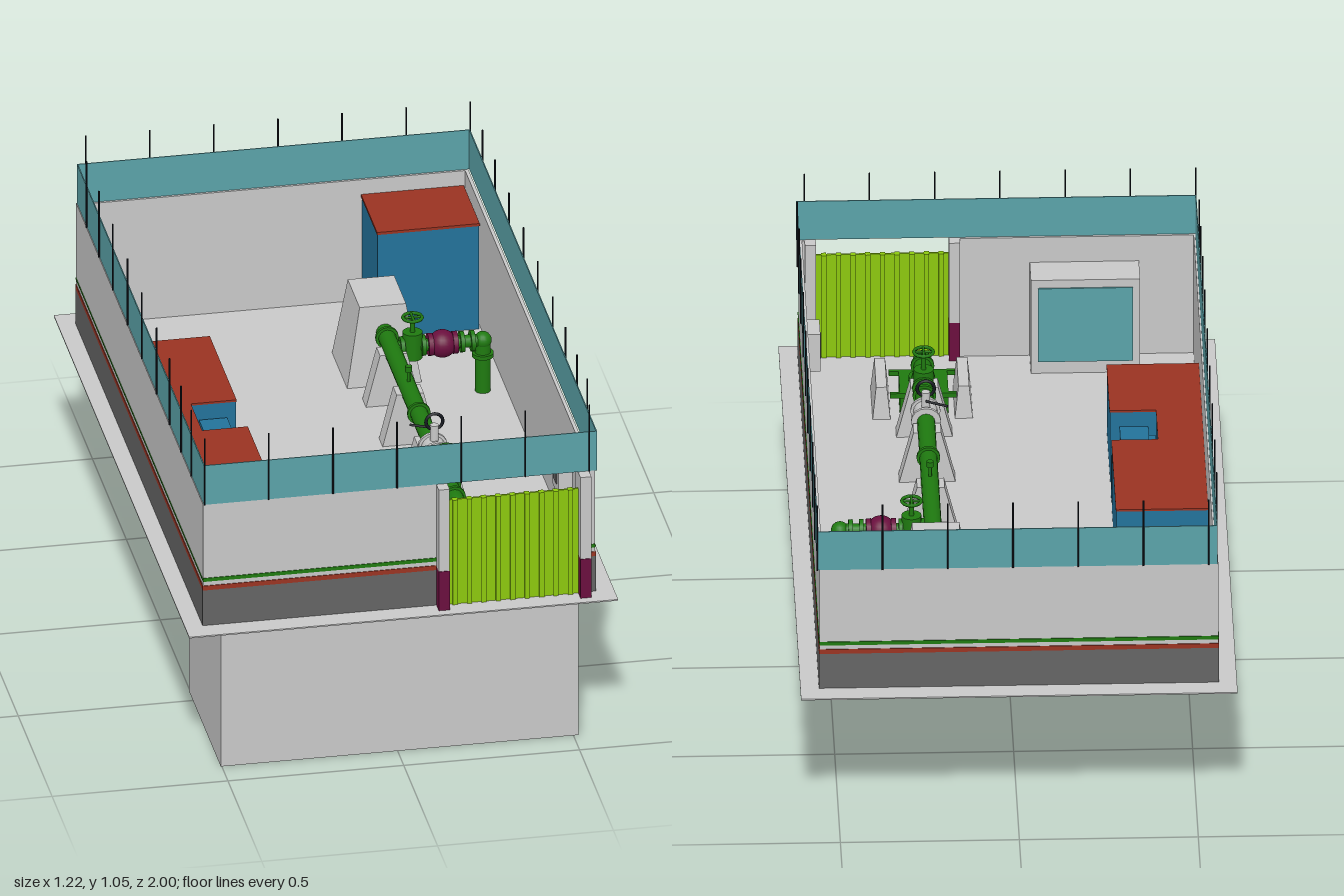
import * as THREE from 'three';

const mat = (name, color) => {
  const m = new THREE.MeshStandardMaterial({ color });
  m.name = name;
  return m;
};

export function createModel() {
  const root = new THREE.Group();
  root.name = 'pumpingStationYard';
  const concrete = mat('light concrete', 0xc8c8c8), dark = mat('dark plinth grey', 0x646464);
  const red = mat('brick red', 0x9a3322), green = mat('pipe green', 0x1f7a10);
  const teal = mat('fence teal', 0x5aa2a8), lime = mat('gate lime', 0x8cc80e);
  const maroon = mat('maroon', 0x6a0f3e), blue = mat('building blue', 0x23729a);
  const black = mat('pole black', 0x15181f);
  const FLOOR = 0.462, WALL = 0.84, PX = 0.22, PY = 0.62;

  const add = (name, geo, m, parent = root) => {
    const mesh = new THREE.Mesh(geo, m);
    mesh.name = name;
    parent.add(mesh);
    return mesh;
  };
  // Box given by its extents on each axis
  const box = (name, m, x0, x1, y0, y1, z0, z1, parent) => {
    const b = add(name, new THREE.BoxGeometry(x1 - x0, y1 - y0, z1 - z0), m, parent);
    b.position.set((x0 + x1) / 2, (y0 + y1) / 2, (z0 + z1) / 2);
    return b;
  };
  // Cylinder between two points
  const rod = (name, m, a, b, r, parent, seg = 16) => {
    const p = new THREE.Vector3(...a), q = new THREE.Vector3(...b);
    const d = q.clone().sub(p);
    const c = add(name, new THREE.CylinderGeometry(r, r, d.length(), seg), m, parent);
    c.position.copy(p).add(q).multiplyScalar(0.5);
    c.quaternion.setFromUnitVectors(new THREE.Vector3(0, 1, 0), d.normalize());
    return c;
  };
  // Box whose top is inset on x and z
  const taper = (name, m, x0, x1, y0, y1, z0, z1, ix, iz, parent) => {
    const b = box(name, m, x0, x1, y0, y1, z0, z1, parent);
    const w = x1 - x0, d = z1 - z0, p = b.geometry.attributes.position;
    for (let i = 0; i < p.count; i++) {
      if (p.getY(i) < 0) continue;
      p.setX(i, p.getX(i) * (1 - 2 * ix / w));
      p.setZ(i, p.getZ(i) * (1 - 2 * iz / d));
    }
    b.geometry.computeVertexNormals();
    return b;
  };
  const group = (name) => {
    const g = new THREE.Group();
    g.name = name;
    root.add(g);
    return g;
  };

  // Ground slab and the chamber below it
  box('groundSlab', concrete, -0.61, 0.61, FLOOR - 0.004, FLOOR, -1, 1);
  box('undergroundChamber', concrete, -0.503, 0.515, 0, FLOOR - 0.004, 0.44, 0.91);

  // Perimeter walls with painted bands on their outer faces
  const walls = group('perimeterWalls');
  const bands = [[dark, FLOOR, 0.572], [red, 0.572, 0.586], [green, 0.599, 0.61]];
  const T = 0.01, P = 0.002, X0 = -0.558, X1 = 0.556, Z0 = -0.938, Z1 = 0.936;
  for (const [a, b] of [[X0, 0.11], [0.535, X1]]) {
    box('frontWall', concrete, a, b, FLOOR, WALL, Z1 - T, Z1, walls);
    for (const [m, y0, y1] of bands) box('frontBand', m, a, b, y0, y1, Z1, Z1 + P, walls);
  }
  box('backWall', concrete, X0, X1, FLOOR, WALL, Z0, Z0 + T, walls);
  for (const [m, y0, y1] of bands) box('backBand', m, X0, X1, y0, y1, Z0 - P, Z0, walls);
  for (const s of [-1, 1]) {
    const x = s < 0 ? X0 : X1;
    box('sideWall', concrete, Math.min(x, x - s * T), Math.max(x, x - s * T), FLOOR, WALL, Z0 + T, Z1 - T, walls);
    for (const [m, y0, y1] of bands) {
      const top = m === green ? y0 + 0.007 : y1, low = m === green ? y0 + 0.003 : y0;
      box('sideBand', m, Math.min(x, x + s * P), Math.max(x, x + s * P), low, top, Z0 - P, Z1 + P, walls);
    }
  }

  // Fence panels on the wall tops, with thin poles
  const fence = group('fence');
  const FX0 = -0.556, FX1 = 0.562, FY = 0.963, F = 0.003;
  box('fenceFront', teal, FX0, FX1, WALL, FY, Z1 - F, Z1, fence);
  box('fenceBack', teal, FX0, FX1, WALL, FY, Z0, Z0 + F, fence);
  box('fenceLeft', teal, FX1 - F, FX1, WALL, FY, Z0, Z1, fence);
  box('fenceRight', teal, FX0, FX0 + F, WALL, FY, Z0, Z1, fence);
  const pole = (x, z) => rod('fencePole', black, [x, WALL, z], [x, 1.048, z], 0.0025, fence, 6);
  for (let i = 0; i < 7; i++) {
    pole(-0.554 + i * 0.1823, Z1 + 0.002);
    pole(-0.531 + i * 0.1823, Z0 - 0.002);
  }
  for (const z of [0.77, 0.62, 0.45, 0.26, 0.04, -0.17, -0.385, -0.59, -0.775]) {
    pole(FX1 + 0.002, z + 0.01);
    pole(FX0 - 0.002, z - 0.012);
  }

  // Ribbed gate between two posts
  const gate = group('gate');
  box('gatePanel', lime, 0.136, 0.51, FLOOR, 0.79, 0.934, 0.94, gate);
  for (let i = 0; i < 9; i++) {
    const x = 0.15 + i * 0.041;
    box('gateRib', lime, x, x + 0.014, FLOOR, 0.79, 0.928, 0.946, gate);
  }
  for (const x of [0.105, 0.508]) {
    box('gatePost', concrete, x, x + 0.031, 0.584, WALL, 0.9, 0.972, gate);
    box('gatePostBase', maroon, x, x + 0.031, FLOOR, 0.584, 0.9, 0.974, gate);
  }

  // Main building with a notched roof and a lower unit in the notch
  const hall = group('mainBuilding');
  const notched = (m, name, y0, y1, e) => {
    const pts = [[-0.55, -0.358], [-0.29, -0.358], [-0.29, 0.038], [-0.42, 0.038],
      [-0.42, 0.203], [-0.29, 0.203], [-0.29, 0.465], [-0.55, 0.465]];
    const shape = new THREE.Shape(pts.map(([x, z]) => new THREE.Vector2(x - (x > -0.5 ? e : 0), -z)));
    const g = new THREE.ExtrudeGeometry(shape, { depth: y1 - y0, bevelEnabled: false });
    g.rotateX(-Math.PI / 2);
    add(name, g, m, hall).position.y = y0;
  };
  notched(blue, 'buildingWalls', FLOOR, 0.684, 0.002);
  notched(red, 'buildingRoof', 0.684, 0.69, 0);
  box('entranceUnit', blue, -0.398, -0.318, FLOOR, 0.64, 0.044, 0.2, hall);
  box('entranceSide', blue, -0.418, -0.398, FLOOR, 0.62, 0.06, 0.185, hall);
  box('entrancePorch', blue, -0.318, -0.292, FLOOR, 0.6, 0.085, 0.155, hall);

  // Small building in the back corner
  box('cornerBuildingWalls', blue, 0.252, 0.54, FLOOR, 0.786, -0.926, -0.693);
  box('cornerBuildingRoof', red, 0.25, 0.542, 0.786, 0.794, -0.928, -0.691);

  // Kiosk on the front wall and a panel on the left wall
  box('kioskBody', concrete, -0.395, -0.09, FLOOR, 0.76, 0.823, 0.926);
  box('kioskWindow', teal, -0.375, -0.11, 0.5, 0.735, 0.819, 0.823);
  box('wallPanel', concrete, 0.506, 0.546, 0.62, 0.74, 0.573, 0.658);
  box('wallPanelFace', dark, 0.503, 0.506, 0.65, 0.71, 0.595, 0.636);

  // Main pipe, with an elbow down at the front and a sloping outlet at the back
  const pipe = group('mainPipe');
  const path = new THREE.CurvePath();
  const v = (y, z) => new THREE.Vector3(PX, y, z);
  path.add(new THREE.LineCurve3(v(0.45, -0.652), v(0.6, -0.5)));
  path.add(new THREE.QuadraticBezierCurve3(v(0.6, -0.5), v(PY, -0.48), v(PY, -0.45)));
  path.add(new THREE.LineCurve3(v(PY, -0.45), v(PY, 0.62)));
  path.add(new THREE.QuadraticBezierCurve3(v(PY, 0.62), v(PY, 0.665), v(0.575, 0.665)));
  path.add(new THREE.LineCurve3(v(0.575, 0.665), v(0.5, 0.665)));
  add('pipeRun', new THREE.TubeGeometry(path, 120, 0.025, 16), green, pipe);
  rod('outletEnd', green, [PX, 0.452, -0.65], [PX, 0.444, -0.658], 0.026, pipe);
  rod('outletFlange', green, [PX, 0.5, -0.66], [PX, 0.5, -0.69], 0.031, pipe);
  rod('outletStub', green, [PX, 0.5, -0.6], [PX, 0.5, -0.66], 0.024, pipe);
  for (const z of [-0.39, 0.08, 0.43, 0.47, 0.53, 0.6])
    rod('pipeFlange', green, [PX, PY, z - 0.005], [PX, PY, z + 0.005], 0.033, pipe);
  rod('elbowFlange', green, [PX, 0.535, 0.665], [PX, 0.55, 0.665], 0.037, pipe);

  // Valve with a hand wheel
  const valve = (x, z, top) => {
    rod('valveBody', green, [x, PY - 0.035, z], [x, PY + 0.045, z], 0.028, pipe);
    rod('valveStem', green, [x, PY, z], [x, top, z], 0.007, pipe, 8);
    const wheel = add('handWheel', new THREE.TorusGeometry(0.027, 0.005, 6, 20), green, pipe);
    wheel.rotation.x = Math.PI / 2;
    wheel.position.set(x, top, z);
    for (const a of [0, 1]) rod('wheelSpoke', green, [x - 0.027 * a, top, z - 0.027 * (1 - a)],
      [x + 0.027 * a, top, z + 0.027 * (1 - a)], 0.004, pipe, 6);
  };
  valve(PX, 0.5, 0.72);
  valve(0.28, -0.325, 0.71);

  // Air vent and flow meter
  rod('ventStem', green, [PX, PY, -0.07], [PX, 0.69, -0.07], 0.005, pipe, 8);
  rod('ventCap', green, [PX, 0.675, -0.07], [PX, 0.692, -0.07], 0.01, pipe, 10);
  rod('meterBody', concrete, [PX, PY, 0.285], [PX, PY, 0.345], 0.034, pipe);
  for (const z of [0.285, 0.345]) rod('meterFlange', concrete, [PX, PY, z - 0.005], [PX, PY, z + 0.005], 0.042, pipe);
  rod('meterNeck', concrete, [PX, PY, 0.31], [PX, 0.7, 0.31], 0.012, pipe);
  add('meterHandle', new THREE.TorusGeometry(0.024, 0.005, 6, 20), black, pipe).position.set(PX, 0.71, 0.31);
  rod('meterLever', black, [PX, 0.68, 0.29], [PX - 0.06, 0.68, 0.26], 0.004, pipe, 6);

  // Side branch with a maroon pump
  const bz = -0.325;
  rod('branchPipe', green, [PX, PY, bz], [0.48, PY, bz], 0.018, pipe);
  for (const x of [0.25, 0.31, 0.42, 0.45])
    rod('branchFlange', green, [x - 0.006, PY, bz], [x + 0.006, PY, bz], 0.03, pipe);
  add('branchPump', new THREE.SphereGeometry(0.04, 20, 14), maroon, pipe).position.set(0.365, PY, bz);
  for (const x of [0.33, 0.4]) rod('pumpFlange', maroon, [x - 0.007, PY, bz], [x + 0.007, PY, bz], 0.032, pipe);
  add('branchElbow', new THREE.SphereGeometry(0.025, 16, 12), green, pipe).position.set(0.48, PY, bz);
  rod('branchDrop', green, [0.48, FLOOR, bz], [0.48, PY, bz], 0.022, pipe);
  rod('branchDropFlange', green, [0.48, 0.57, bz], [0.48, 0.582, bz], 0.031, pipe);

  // Tapered pipe supports with footings through the slab
  const supports = group('pipeSupports');
  for (const z of [-0.31, -0.065, 0.245, 0.5]) {
    taper('pipeSaddle', concrete, 0.14, 0.297, FLOOR, PY, z - 0.027, z + 0.027, 0.04, 0, supports);
    box('saddleFooting', concrete, 0.14, 0.297, 0.436, FLOOR, z - 0.027, z + 0.027, supports);
  }
  rod('drainPipe', concrete, [PX, 0.38, 0.26], [PX, FLOOR, 0.26], 0.006, supports, 8);
  box('drainBox', concrete, 0.205, 0.235, 0.41, 0.44, 0.252, 0.272, supports);

  // Anchor block and pump base
  taper('anchorBlock', concrete, 0.11, 0.322, FLOOR, 0.7, -0.63, -0.405, 0.04, 0.025);
  const base = group('pumpBase');
  box('pumpBaseBody', green, 0.147, 0.283, FLOOR, 0.53, 0.607, 0.73, base);
  for (const z of [0.6, 0.727]) box('pumpBaseRail', green, 0.125, 0.31, 0.515, 0.53, z, z + 0.01, base);
  for (const x of [0.08, 0.31]) taper('pumpBaseBlock', concrete, x, x + 0.05, FLOOR, 0.56, 0.575, 0.76, 0.01, 0.01, base);

  return root;
}
